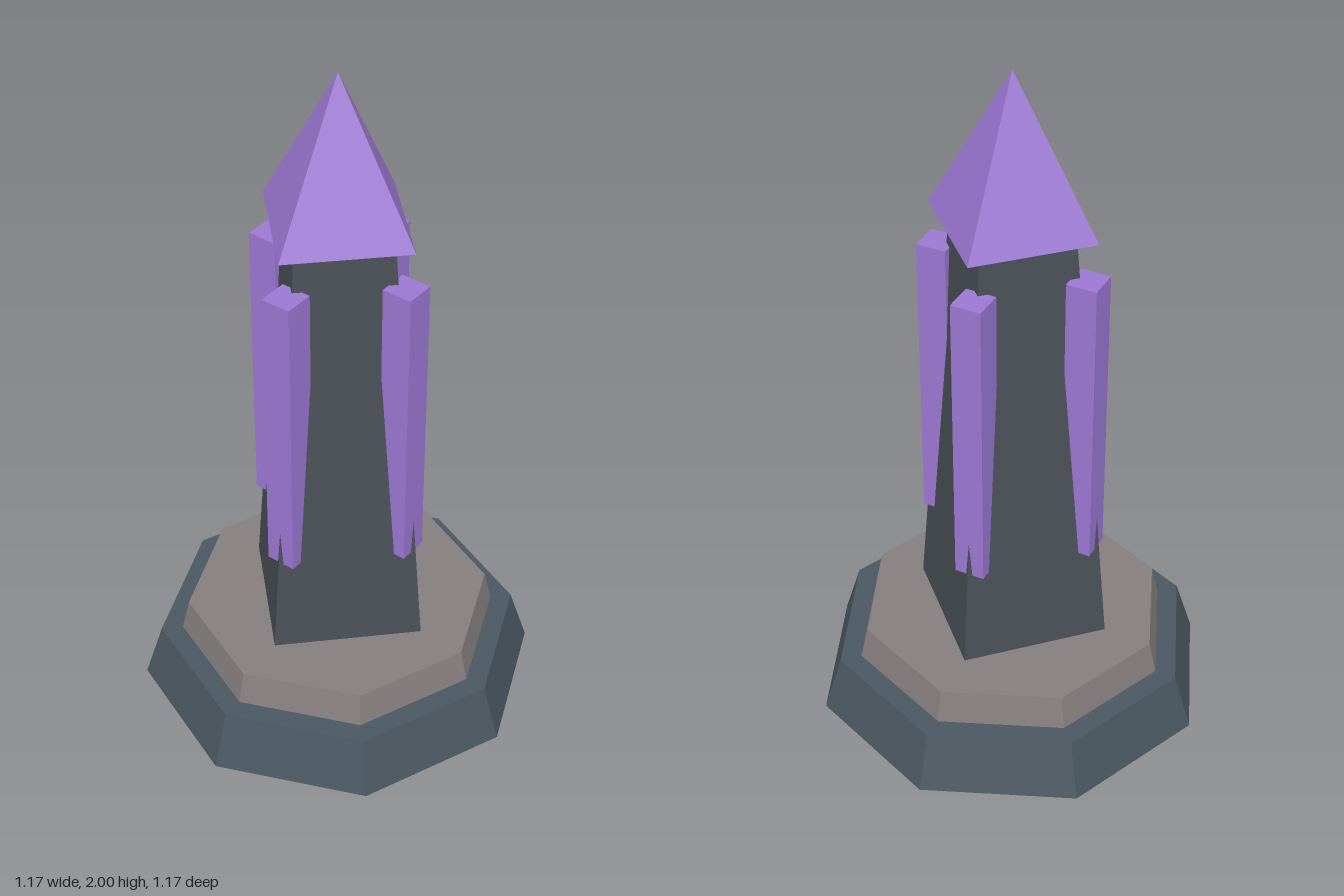
import * as THREE from 'three';

const flat = (name, color) => {
  const m = new THREE.MeshStandardMaterial({ color, flatShading: true });
  m.name = name;
  return m;
};

export function createModel() {
  const group = new THREE.Group();
  group.name = 'crystalTower';

  const slate = flat('slate', 0x4a5761);
  const stone = flat('warmStone', 0x857e7e);
  const charcoal = flat('charcoal', 0x495056);
  const purple = flat('purpleCrystal', 0x9b77d3);

  const add = (name, geometry, material, x, y, z) => {
    const mesh = new THREE.Mesh(geometry, material);
    mesh.name = name;
    mesh.position.set(x, y, z);
    group.add(mesh);
  };

  // Tapered prism standing between two heights, with a corner on each axis
  const tier = (name, rTop, rBottom, y0, y1, sides, material) =>
    add(name, new THREE.CylinderGeometry(rTop, rBottom, y1 - y0, sides), material, 0, (y0 + y1) / 2, 0);

  // Stepped octagonal foot
  tier('base', 0.53, 0.583, 0, 0.168, 8, slate);
  tier('plinth', 0.445, 0.467, 0.168, 0.264, 8, stone);

  // Four-sided shaft and pointed cap
  tier('shaft', 0.187, 0.302, 0.264, 1.56, 4, charcoal);
  add('cap', new THREE.ConeGeometry(0.25, 0.44, 4), purple, 0, 1.78, 0);

  // Crystal bars on the shaft corners
  const bar = new THREE.BoxGeometry(0.088, 0.885, 0.088);
  const names = ['frontBar', 'leftBar', 'backBar', 'rightBar'];
  names.forEach((name, i) => {
    const a = (i * Math.PI) / 2;
    add(name, bar, purple, Math.sin(a) * 0.222, 1.0025, Math.cos(a) * 0.222);
  });

  return group;
}
